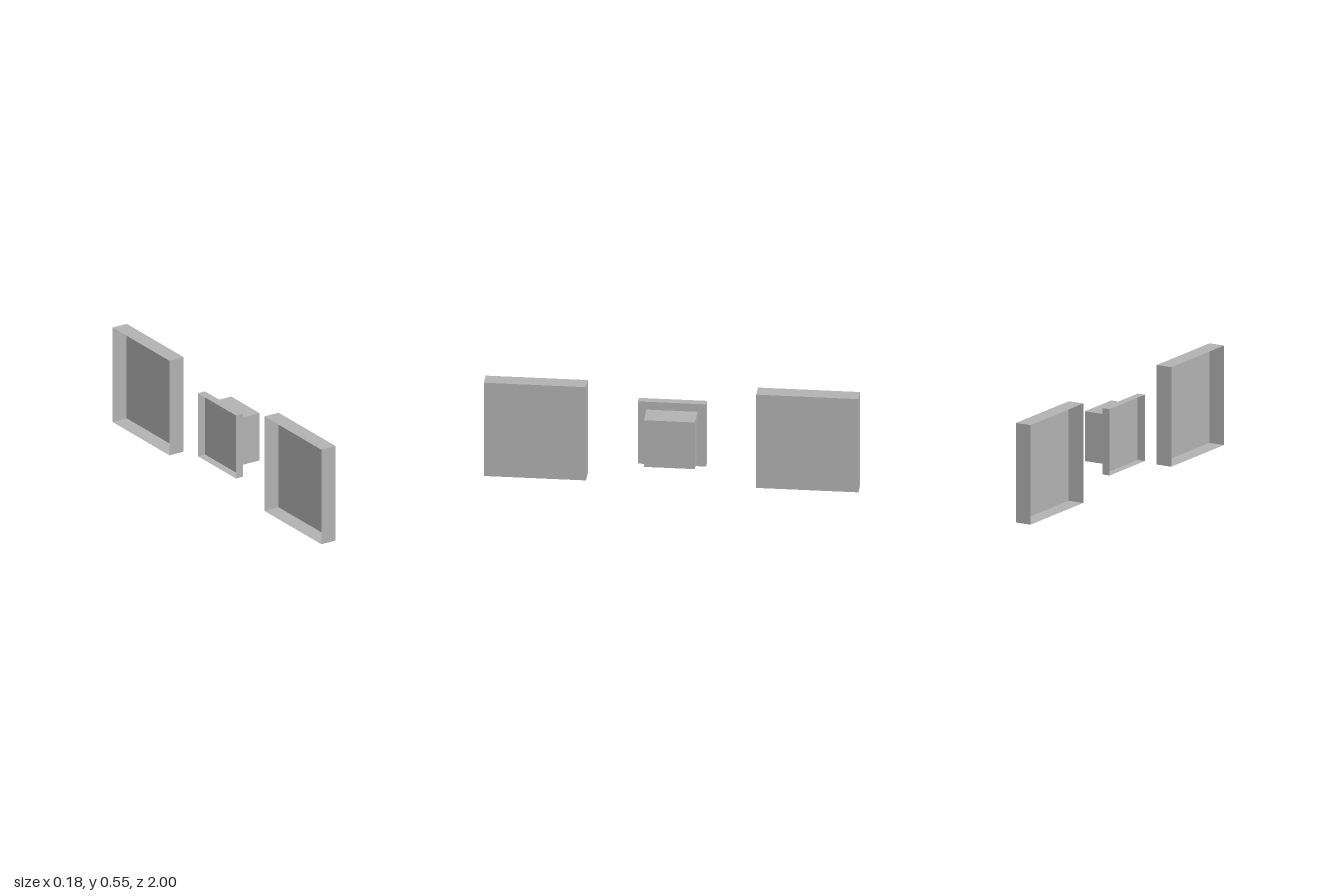
import * as THREE from 'three';

// Thin-walled box spanning x0..x1, open on its -x side
function openBox(name, x0, x1, size, z, material) {
  const geometry = new THREE.BoxGeometry(x1 - x0, size, size);
  const index = Array.from(geometry.index.array);
  index.splice(6, 6); // drop the -x face
  geometry.setIndex(index);
  geometry.clearGroups();
  const mesh = new THREE.Mesh(geometry, material);
  mesh.name = name;
  mesh.position.set((x0 + x1) / 2, 0.2727, z);
  return mesh;
}

export function createModel() {
  const group = new THREE.Group();
  group.name = 'wallPanels';

  const grey = new THREE.MeshStandardMaterial({ color: 0xb2b2b2, side: THREE.DoubleSide });
  grey.name = 'grey';

  // Two large hollow panels, front and back
  group.add(openBox('frontPanel', -0.0909, 0, 0.5454, 0.7273, grey));
  group.add(openBox('backPanel', -0.0909, 0, 0.5454, -0.7273, grey));

  // Small hollow plate in the middle with a raised block on it
  const button = new THREE.Group();
  button.name = 'button';
  button.add(openBox('buttonPlate', -0.0909, -0.0455, 0.3636, 0, grey));
  button.add(openBox('buttonBlock', -0.0455, 0.0909, 0.2727, 0, grey));
  group.add(button);

  return group;
}
